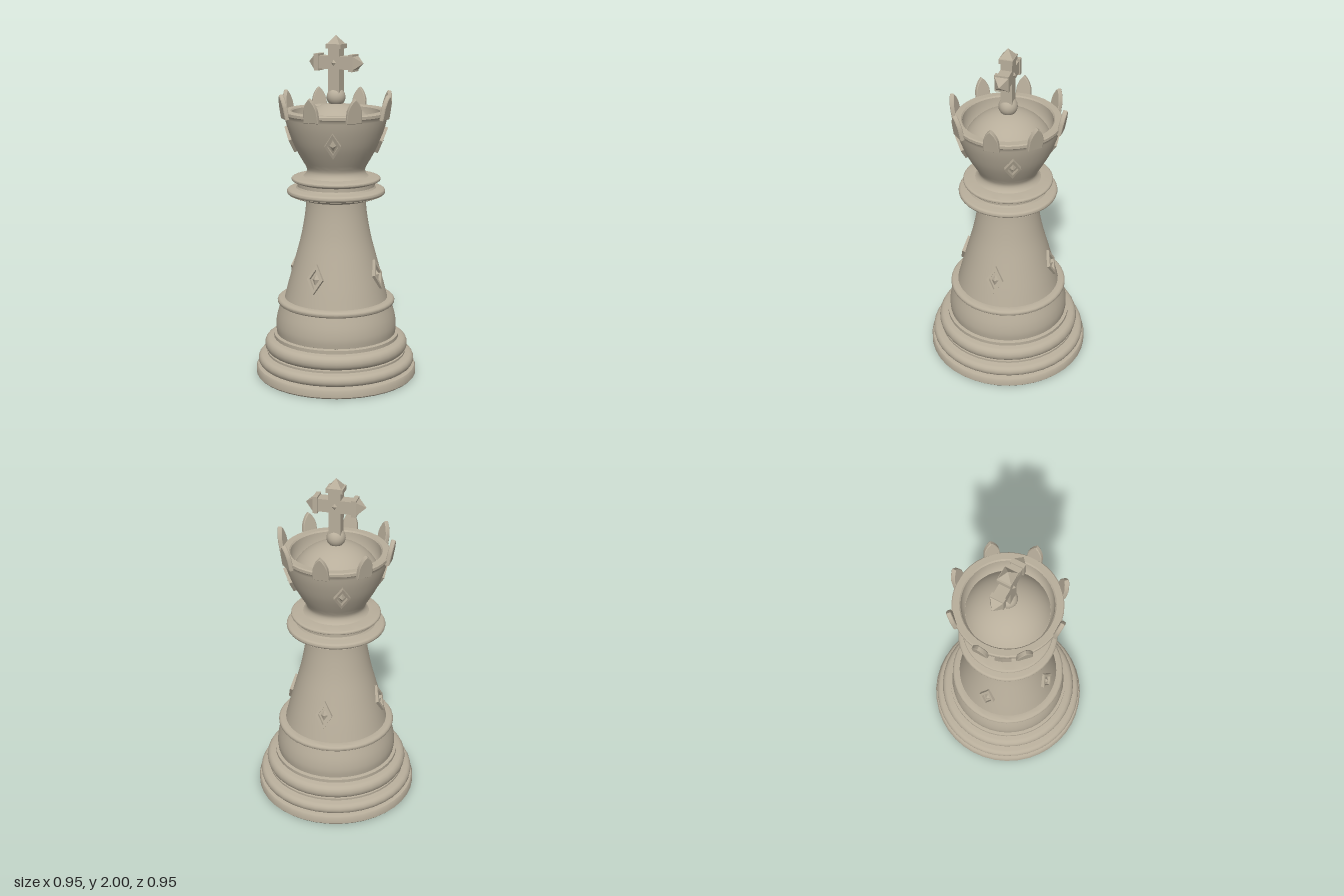
import * as THREE from 'three';
import { toCreasedNormals } from 'three/addons/utils/BufferGeometryUtils.js';

const stone = new THREE.MeshStandardMaterial({ color: 0xb8ae9b });
stone.name = 'warm stone';

function add(parent, name, geometry, crease = 0.5) {
  const mesh = new THREE.Mesh(toCreasedNormals(geometry, crease), stone);
  mesh.name = name;
  parent.add(mesh);
  return mesh;
}

// Half-ellipse moulding bulging out from radius r between two heights
function roll(r, bulge, y0, y1, n = 8) {
  return Array.from({ length: n + 1 }, (_, i) => {
    const a = Math.PI * (i / n - 0.5);
    return [r + bulge * Math.cos(a), (y0 + y1) / 2 + ((y1 - y0) / 2) * Math.sin(a)];
  });
}

// Smooth run through a few [radius, height] points
function sweep(points, n = 16) {
  const curve = new THREE.SplineCurve(points.map(p => new THREE.Vector2(...p)));
  return curve.getPoints(n).map(p => [p.x, p.y]);
}

function turned(parent, name, profile) {
  const pts = profile.map(p => new THREE.Vector2(...p));
  return add(parent, name, new THREE.LatheGeometry(pts, 40), 0.6);
}

function diamond(w, h) {
  const pts = [[0, -h], [w, 0], [0, h], [-w, 0]];
  return pts.map(p => new THREE.Vector2(...p));
}

// Diamond frame with a faceted gem, facing +z
function jewel(w, h) {
  const g = new THREE.Group();
  const shape = new THREE.Shape(diamond(w, h));
  shape.holes.push(new THREE.Path(diamond(w * 0.66, h * 0.66)));
  add(g, 'jewelFrame', new THREE.ExtrudeGeometry(shape, { depth: 0.035, bevelEnabled: false })
    .translate(0, 0, -0.02), 0.2);
  const gem = new THREE.ConeGeometry(1, 1, 4).rotateX(Math.PI / 2).scale(w * 0.6, h * 0.6, 0.03);
  add(g, 'jewelGem', gem, 0.1).position.z = 0.005;
  return g;
}

// Repeats an item around the axis
function ring(parent, name, count, start, radius, y, tilt, make) {
  for (let i = 0; i < count; i++) {
    const pivot = new THREE.Group();
    pivot.name = name;
    pivot.rotation.y = start + (i * Math.PI * 2) / count;
    const item = make();
    item.position.set(0, y, radius);
    item.rotation.x = tilt;
    pivot.add(item);
    parent.add(pivot);
  }
}

export function createModel() {
  const model = new THREE.Group();
  model.name = 'chessKing';

  // Stepped foot
  turned(model, 'base', [
    [0, 0], [0.468, 0], [0.475, 0.008], [0.475, 0.045], [0.468, 0.056], [0.45, 0.06],
    ...roll(0.435, 0.028, 0.062, 0.125), [0.41, 0.13], [0.41, 0.142],
    ...roll(0.39, 0.033, 0.144, 0.226), [0.37, 0.23], [0.37, 0.25], [0.345, 0.255], [0, 0.255],
  ]);
  turned(model, 'plinth', [
    [0.34, 0.25], ...sweep([[0.352, 0.255], [0.356, 0.3], [0.348, 0.36], [0.328, 0.43]], 10),
    ...roll(0.326, 0.02, 0.43, 0.467), [0.305, 0.468], [0, 0.468],
  ]);

  // Tapering column
  turned(model, 'column', sweep([
    [0.305, 0.46], [0.282, 0.55], [0.26, 0.63], [0.238, 0.71], [0.206, 0.83],
    [0.185, 0.94], [0.175, 1.02], [0.172, 1.08],
  ], 20));

  // Double collar
  turned(model, 'collar', [
    [0, 1.055], [0.175, 1.055], ...sweep([[0.2, 1.06], [0.25, 1.075], [0.275, 1.085]], 5),
    ...roll(0.27, 0.016, 1.086, 1.12), [0.232, 1.125], [0.225, 1.135], [0.225, 1.155], [0.24, 1.163],
    ...roll(0.245, 0.014, 1.164, 1.187), [0.2, 1.193], [0, 1.193],
  ]);

  // Hollow crown cup with its dome and ball
  turned(model, 'crownCup', [
    ...sweep([[0.2, 1.185], [0.178, 1.203], [0.168, 1.23], [0.18, 1.26]], 8),
    ...sweep([[0.18, 1.26], [0.215, 1.32], [0.25, 1.39], [0.282, 1.48], [0.297, 1.545]], 12),
    [0.304, 1.552], [0.304, 1.568], [0.298, 1.574], [0.262, 1.574], [0.255, 1.566],
    [0.25, 1.5], [0.235, 1.48], [0, 1.48],
  ]);
  const dome = Array.from({ length: 13 }, (_, i) => {
    const a = 1.05 * (1 - i / 12);
    return [0.27 * Math.sin(a), 1.345 + 0.27 * Math.cos(a)];
  });
  turned(model, 'dome', dome);
  add(model, 'ball', new THREE.SphereGeometry(0.054, 24, 16)).position.y = 1.648;

  // Crown points leaning outward
  const point = new THREE.Shape();
  point.moveTo(-0.042, 0);
  point.lineTo(0.042, 0);
  point.lineTo(0.038, 0.065);
  point.quadraticCurveTo(0.026, 0.11, 0, 0.132);
  point.quadraticCurveTo(-0.026, 0.11, -0.038, 0.065);
  const pointGeo = new THREE.ExtrudeGeometry(point, {
    depth: 0.018, bevelThickness: 0.004, bevelSize: 0.004, bevelSegments: 1, curveSegments: 6,
  }).translate(0, 0, -0.009);
  ring(model, 'crownPoint', 8, 0, 0.303, 1.538, 0.18, () => {
    const g = new THREE.Group();
    add(g, 'point', pointGeo, 0.4);
    return g;
  });

  // Jewels on the column and the cup
  ring(model, 'columnJewel', 4, 0, 0.26, 0.63, -0.27, () => jewel(0.05, 0.087));
  ring(model, 'cupJewel', 4, Math.PI / 8, 0.256, 1.405, 0.37, () => jewel(0.046, 0.08));

  // Cross: post, arms, and a band and pyramid on each end
  const cross = new THREE.Group();
  cross.name = 'cross';
  cross.position.y = 1.845;
  model.add(cross);
  add(cross, 'post', new THREE.BoxGeometry(0.07, 0.25, 0.066)).position.y = -0.055;
  add(cross, 'arms', new THREE.BoxGeometry(0.21, 0.074, 0.066));
  // End piece pointing up, with its band starting at y = 0
  const endPiece = (name, angle, reach) => {
    const g = new THREE.Group();
    g.name = name;
    g.rotation.z = angle;
    add(g, 'band', new THREE.BoxGeometry(0.096, 0.026, 0.08)).position.y = reach + 0.013;
    const tip = new THREE.ConeGeometry(0.038 * Math.SQRT2, 0.05, 4).rotateY(Math.PI / 4);
    add(g, 'tip', tip, 0.1).position.y = reach + 0.051;
    cross.add(g);
  };
  endPiece('topEnd', 0, 0.079);
  add(cross, 'neck', new THREE.BoxGeometry(0.07, 0.05, 0.066)).position.y = 0.06;
  endPiece('rightEnd', Math.PI / 2, 0.096);
  endPiece('leftEnd', -Math.PI / 2, 0.096);
  for (const s of [1, -1]) {
    const stud = new THREE.ConeGeometry(1, 1, 4).rotateX(s * Math.PI / 2).scale(0.018, 0.022, 0.014);
    add(cross, 'crossStud', stud, 0.1).position.z = s * 0.038;
  }
  return model;
}
